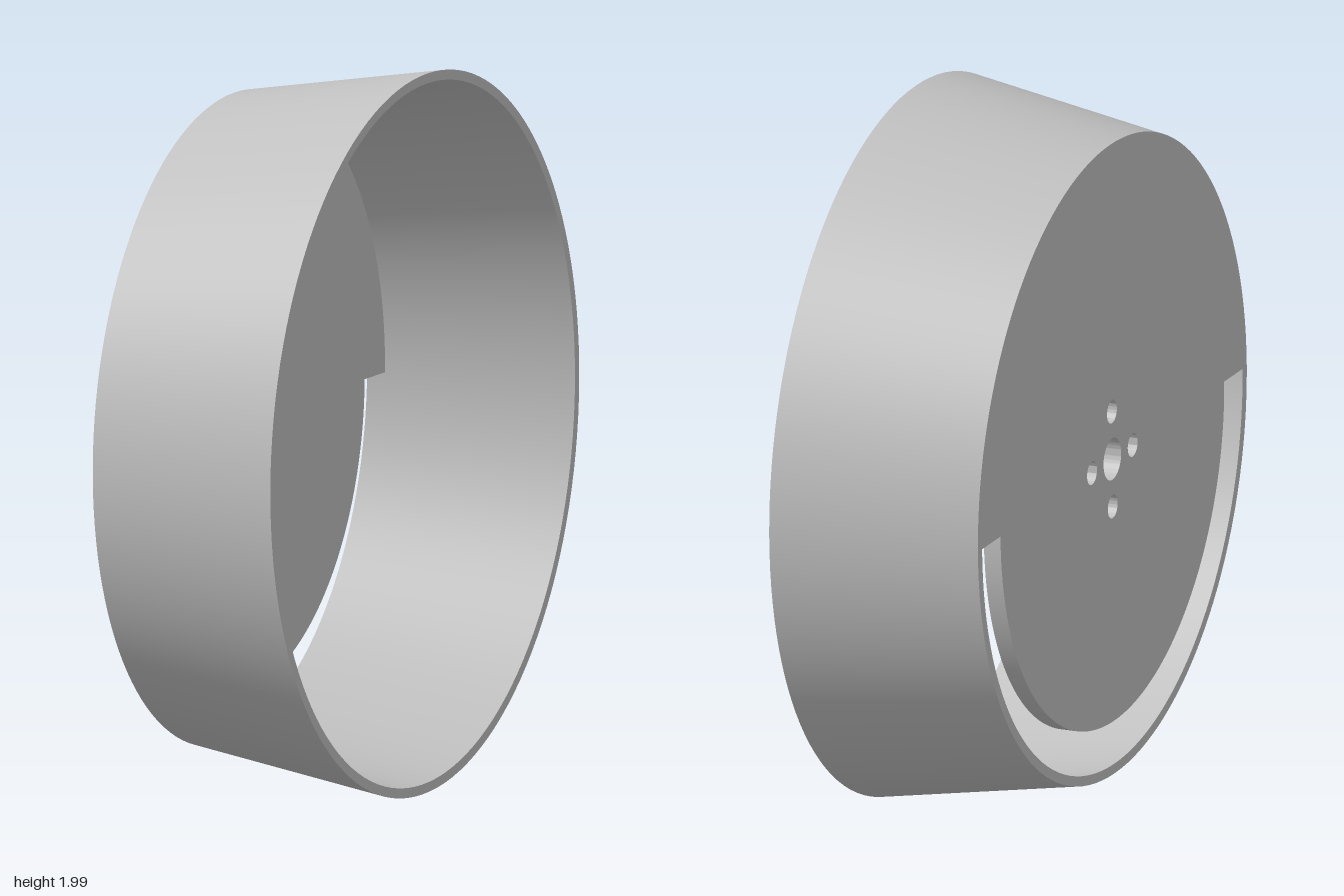
import * as THREE from 'three';
import { mergeGeometries, toCreasedNormals } from 'three/addons/utils/BufferGeometryUtils.js';

const HALF = 0.29;          // half the depth along the axle
const PLATE = 0.05;         // plate thickness
const BACK = { outer: 0.9, inner: 0.872 };
const FRONT = { outer: 0.9975, inner: 0.97 };

// Tapered wall: one lathe per face keeps the rim edges crisp
function wallGeometry() {
  const section = [
    [BACK.outer, -HALF], [FRONT.outer, HALF],
    [FRONT.inner, HALF], [BACK.inner, -HALF],
  ].map(([r, y]) => new THREE.Vector2(r, y));
  const faces = section.map((p, i) =>
    new THREE.LatheGeometry([p, section[(i + 1) % section.length]], 128));
  return mergeGeometries(faces).rotateZ(-Math.PI / 2);
}

// Plate: full upper half, smaller lower half leaving a crescent slot
function plateGeometry() {
  const shape = new THREE.Shape();
  shape.absarc(0, 0, BACK.inner, 0, Math.PI, false);
  shape.absarc(0, 0, 0.749, Math.PI, Math.PI * 2, false);
  shape.closePath();

  // Axle hole and four bolt holes
  const addHole = (x, y, r) => {
    const hole = new THREE.Path();
    hole.absarc(x, y, r, 0, Math.PI * 2, true);
    shape.holes.push(hole);
  };
  addHole(0, 0, 0.059);
  for (let i = 0; i < 4; i++) {
    const a = (i * Math.PI) / 2;
    addHole(0.136 * Math.cos(a), 0.136 * Math.sin(a), 0.033);
  }

  const geo = new THREE.ExtrudeGeometry(shape, { depth: PLATE, bevelEnabled: false, curveSegments: 64 });

  // Flare the outer edge so it meets the tapered wall
  const flare = 1 + ((FRONT.inner - BACK.inner) / (2 * HALF)) * PLATE / BACK.inner;
  const pos = geo.attributes.position;
  for (let i = 0; i < pos.count; i++) {
    const x = pos.getX(i), y = pos.getY(i);
    if (pos.getZ(i) > PLATE / 2 && Math.hypot(x, y) > 0.8) pos.setXY(i, x * flare, y * flare);
  }
  return toCreasedNormals(geo, 0.6).rotateY(Math.PI / 2).translate(-HALF, 0, 0);
}

export function createModel() {
  const grey = new THREE.MeshStandardMaterial({ color: 0xc0c0c0 });
  grey.name = 'light grey';

  const wheel = new THREE.Group();
  wheel.name = 'wheel';
  const wall = new THREE.Mesh(wallGeometry(), grey);
  wall.name = 'taperedWall';
  const plate = new THREE.Mesh(plateGeometry(), grey);
  plate.name = 'slottedPlate';
  wheel.add(wall, plate);

  // The axle leans very slightly
  wheel.rotation.z = -0.0085;
  wheel.position.y = 1.0025;

  const model = new THREE.Group();
  model.name = 'wheelModel';
  model.add(wheel);
  return model;
}
